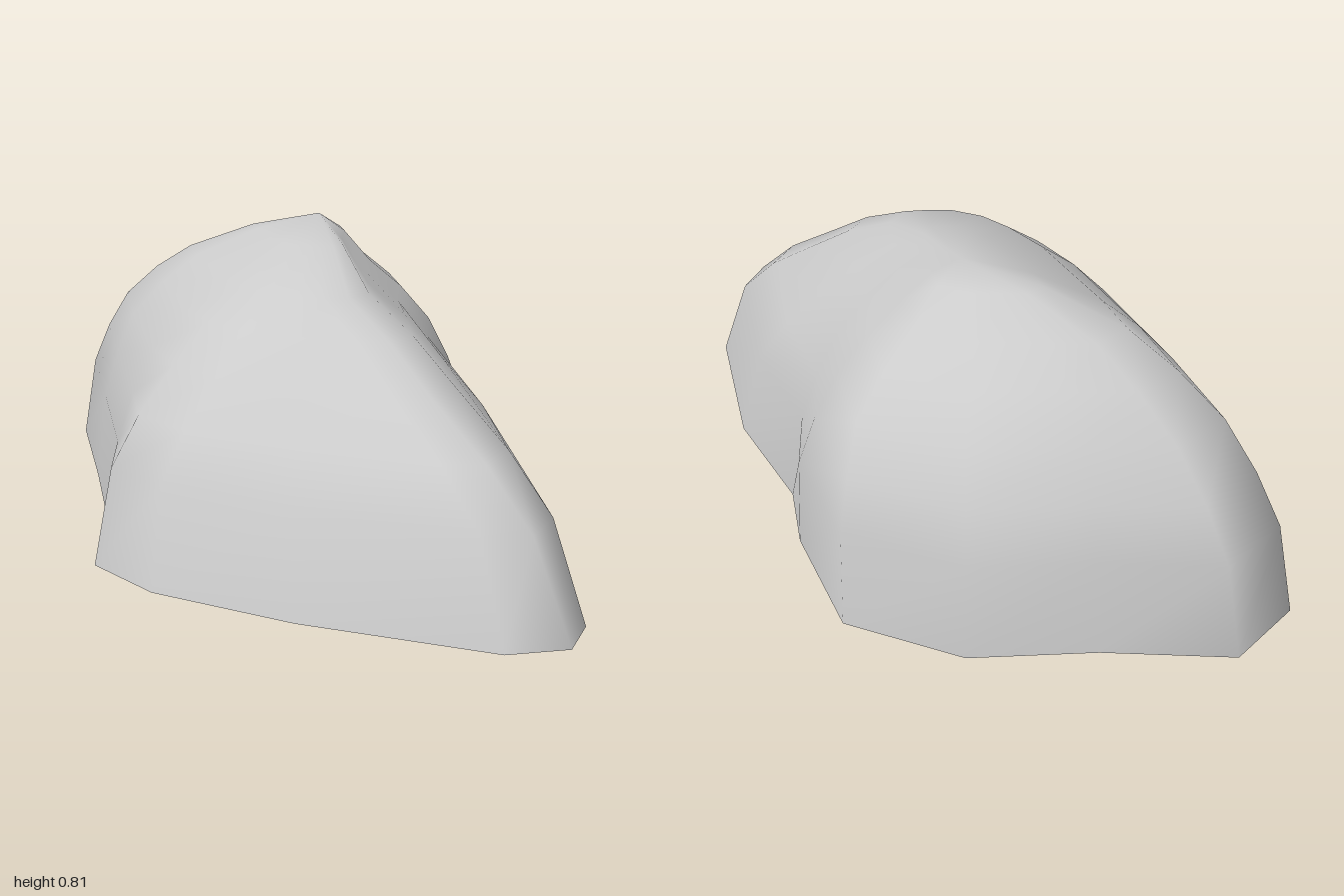
import * as THREE from 'three';

// Contours of the boulder as [x, z] pairs, from the front tip round by +x
const contours = [
  { y: 0, p: [[.35, 1], [.51, .99], [.58, .87], [.6, .36], [.52, -.02], [.54, -.24], [.5, -.61], [.24, -.82],
    [-.08, -.89], [-.4, -1], [-.6, -.87], [-.56, -.4], [-.53, .07], [-.57, .34], [-.43, .54], [-.1, .77]] },
  { y: .25, p: [[.31, .9], [.43, .92], [.51, .8], [.54, .33], [.48, -.02], [.53, -.24], [.49, -.58], [.23, -.79],
    [-.08, -.86], [-.37, -.96], [-.56, -.84], [-.53, -.4], [-.5, .07], [-.52, .3], [-.4, .47], [-.1, .68]] },
  { y: .5, p: [[.16, .57], [.25, .61], [.33, .52], [.36, .22], [.37, -.02], [.42, -.24], [.42, -.48], [.2, -.68],
    [-.08, -.74], [-.29, -.8], [-.45, -.71], [-.44, -.4], [-.4, .02], [-.35, .22], [-.25, .36], [-.04, .48]] },
  { y: .68, p: [[.03, .29], [.1, .3], [.16, .24], [.18, .1], [.2, -.04], [.24, -.22], [.24, -.36], [.12, -.48],
    [-.06, -.54], [-.16, -.57], [-.26, -.52], [-.25, -.36], [-.2, -.02], [-.15, .12], [-.1, .21], [-.03, .27]] },
];
const peak = [.1, .81, -.28];

export function createModel() {
  const rings = contours.map(({ y, p }) => p.map(([x, z]) => [x, y, z]));

  // Extra rings: a slight bulge midway up the sides, and a cap ring below the peak
  const between = (a, b, t, y) => a.map((v, i) =>
    [v[0] + (b[i][0] - v[0]) * t, y, v[2] + (b[i][2] - v[2]) * t]);
  const peakRing = rings[0].map(() => peak);
  const levels = [
    rings[0], rings[1],
    between(rings[1], rings[2], .44, .38),
    rings[2],
    between(rings[2], rings[3], .48, .6),
    rings[3],
    between(rings[3], peakRing, .5, .762),
  ];

  // Join the rings with smooth quads and close the top with a fan
  const n = rings[0].length;
  const positions = [...levels.flat(2), ...peak];
  const index = [];
  for (let r = 0; r < levels.length; r++) {
    for (let i = 0; i < n; i++) {
      const a = r * n + i, b = r * n + (i + 1) % n;
      if (r === levels.length - 1) index.push(a, b, levels.length * n);
      else index.push(a, b, b + n, a, b + n, a + n);
    }
  }
  const geometry = new THREE.BufferGeometry();
  geometry.setAttribute('position', new THREE.Float32BufferAttribute(positions, 3));
  geometry.setIndex(index);
  geometry.computeVertexNormals();

  // Hollow shell, open underneath
  const boulder = new THREE.Mesh(geometry,
    new THREE.MeshStandardMaterial({ color: 0xcccccc, side: THREE.DoubleSide }));
  boulder.name = 'boulder';

  const group = new THREE.Group();
  group.name = 'rock';
  group.add(boulder);
  return group;
}
